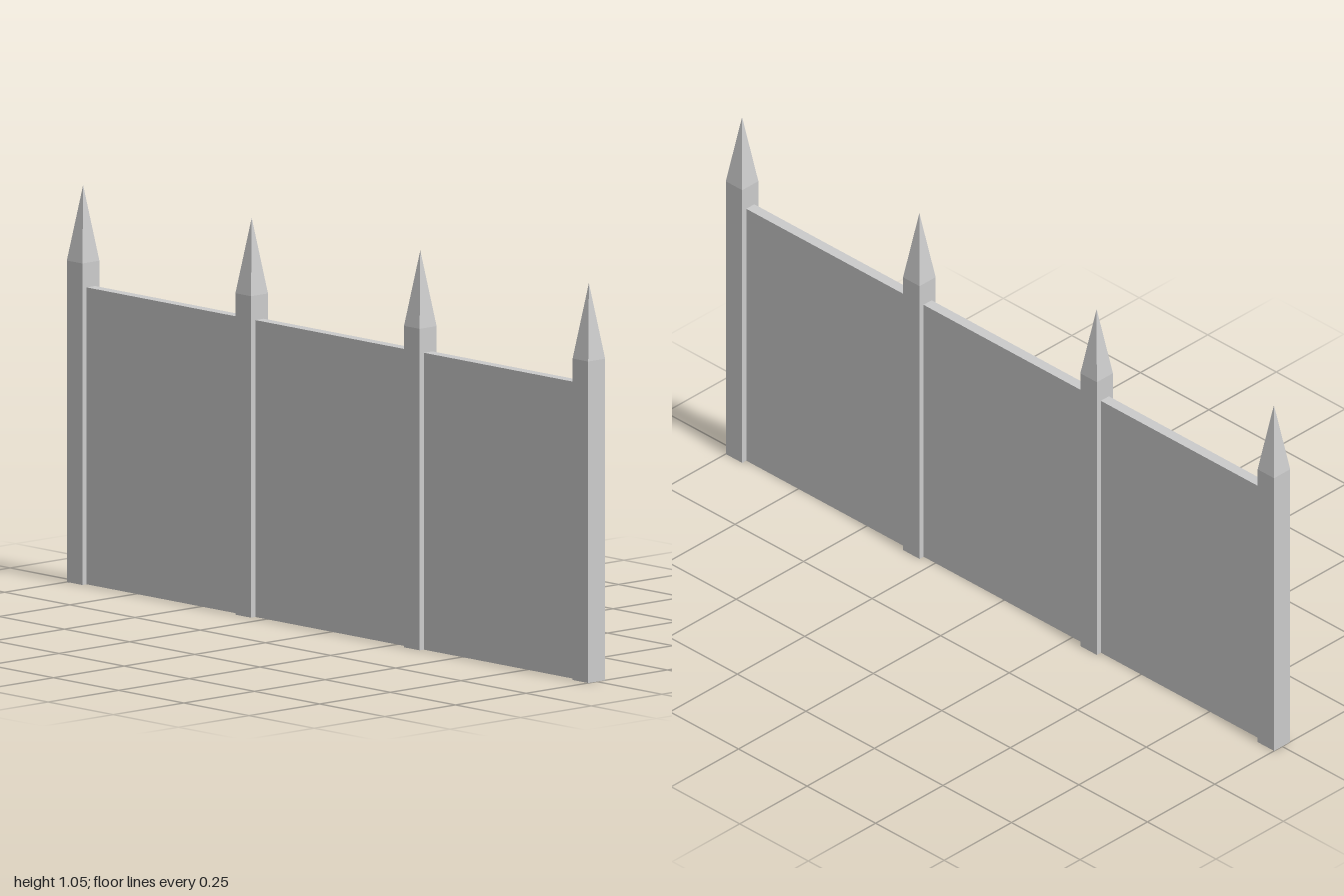
import * as THREE from 'three';

export function createModel() {
  const model = new THREE.Group();
  model.name = 'fence';
  const material = new THREE.MeshStandardMaterial({ color: 0xcccccc, flatShading: true });

  const postCount = 4, postWidth = 0.06, shaftHeight = 0.85, tipHeight = 0.2;
  const panelHeight = 0.785, panelDepth = 0.03;
  const spacing = (2 - postWidth) / (postCount - 1);
  const firstX = -1 + postWidth / 2;

  const add = (parent, name, geometry, x, y) => {
    const mesh = new THREE.Mesh(geometry, material);
    mesh.name = name;
    mesh.position.set(x, y, 0);
    parent.add(mesh);
  };

  // Square shaft and four-sided pointed tip
  const shaft = new THREE.BoxGeometry(postWidth, shaftHeight, postWidth);
  const tip = new THREE.ConeGeometry(postWidth / Math.SQRT2, tipHeight, 4, 1, true).rotateY(Math.PI / 4);
  // Flat board filling the gap between two posts
  const board = new THREE.BoxGeometry(spacing - postWidth, panelHeight, panelDepth);

  for (let i = 0; i < postCount; i++) {
    const post = new THREE.Group();
    post.name = `post${i + 1}`;
    post.position.x = firstX + i * spacing;
    add(post, 'postShaft', shaft, 0, shaftHeight / 2);
    add(post, 'postTip', tip, 0, shaftHeight + tipHeight / 2);
    model.add(post);

    if (i < postCount - 1) {
      add(model, `panel${i + 1}`, board, firstX + (i + 0.5) * spacing, panelHeight / 2);
    }
  }
  return model;
}
